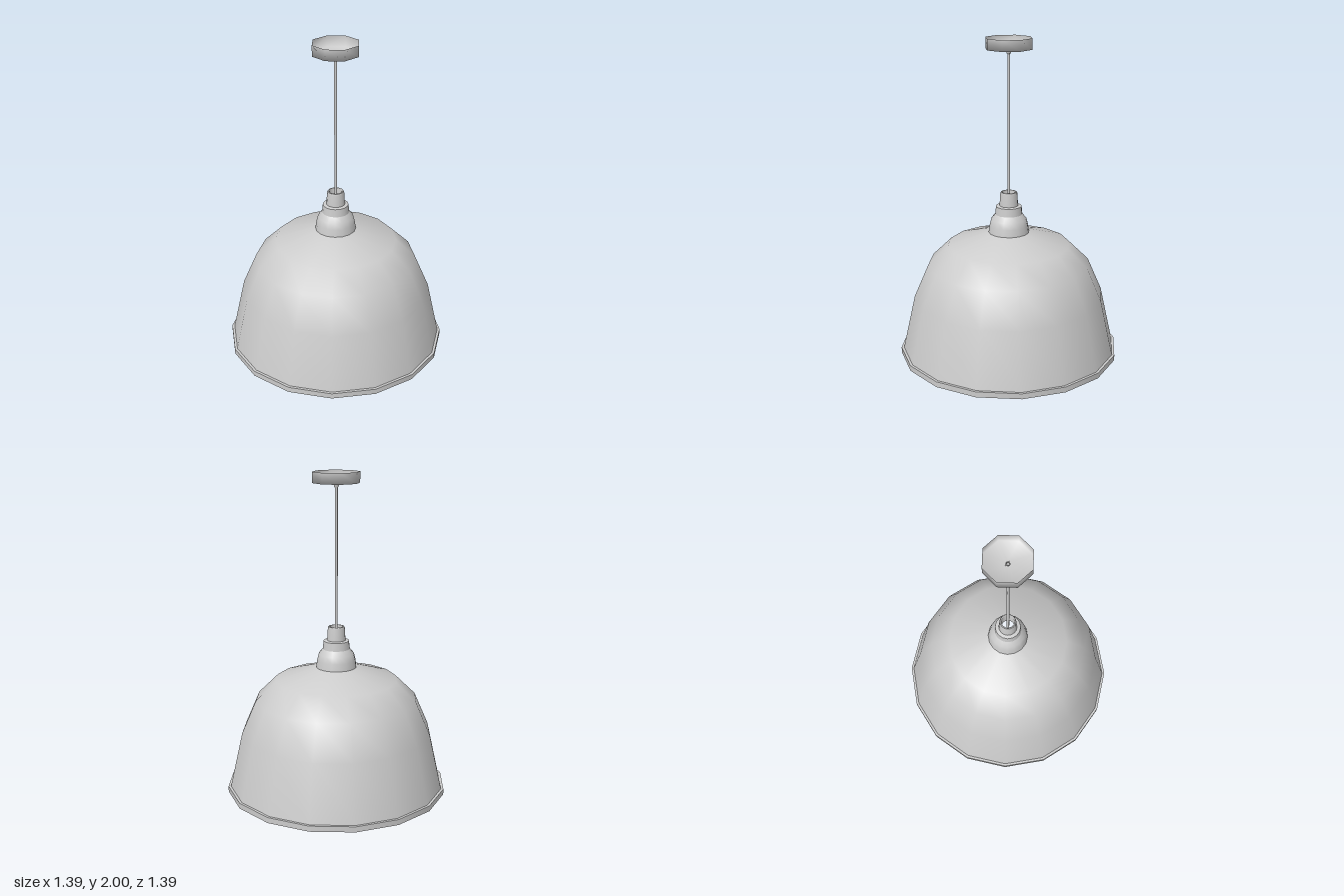
import * as THREE from 'three';

const material = new THREE.MeshStandardMaterial({ color: 0xcccccc, side: THREE.DoubleSide });

// Revolved thin surface from [radius, height] points, listed bottom to top on the outside
function revolve(name, points, sides) {
  const profile = points.map(([r, y]) => new THREE.Vector2(r, y));
  const mesh = new THREE.Mesh(new THREE.LatheGeometry(profile, sides), material);
  mesh.name = name;
  return mesh;
}

// One surface per straight section, so its edges stay sharp
function revolveSharp(name, points, sides) {
  const group = new THREE.Group();
  group.name = name;
  for (let i = 0; i < points.length - 1; i++) {
    group.add(revolve(name + 'Face', [points[i], points[i + 1]], sides));
  }
  return group;
}

export function createModel() {
  const model = new THREE.Group();
  model.name = 'pendantLamp';

  // Open bell shade
  model.add(revolve('shade', [
    [0.677, 0.035], [0.598, 0.386], [0.508, 0.593], [0.382, 0.717], [0.127, 0.795],
  ], 16));

  // Square-section rim around the mouth
  model.add(revolveSharp('rim', [
    [0.677, 0.035], [0.672, 0], [0.693, 0], [0.693, 0.035], [0.677, 0.035],
  ], 16));

  // Stepped lamp holder: skirt, collar and open neck
  const holder = new THREE.Group();
  holder.name = 'lampHolder';
  holder.add(revolve('skirt', [
    [0.127, 0.795], [0.121, 0.84], [0.111, 0.88], [0.085, 0.912],
  ], 16));
  holder.add(revolve('collar', [[0.085, 0.912], [0.08, 0.963]], 16));
  holder.add(revolve('collarTop', [[0.08, 0.963], [0.058, 0.967]], 16));
  holder.add(revolve('neck', [[0.058, 0.967], [0.053, 1.045], [0.049, 1.053]], 16));
  holder.add(revolve('neckLip', [[0.049, 1.053], [0.04, 1.053], [0.04, 0.967]], 16));
  model.add(holder);

  // Hollow cable and its grip below the canopy
  model.add(revolve('cable', [[0.009, 0.967], [0.009, 1.935]], 8));
  model.add(revolve('cableGrip', [[0.009, 1.905], [0.014, 1.908], [0.017, 1.935]], 8));

  // Ceiling canopy: a shallow eight-sided dish open at the top
  model.add(revolve('canopy', [[0.012, 1.933], [0.145, 1.933], [0.145, 2]], 8));

  return model;
}
